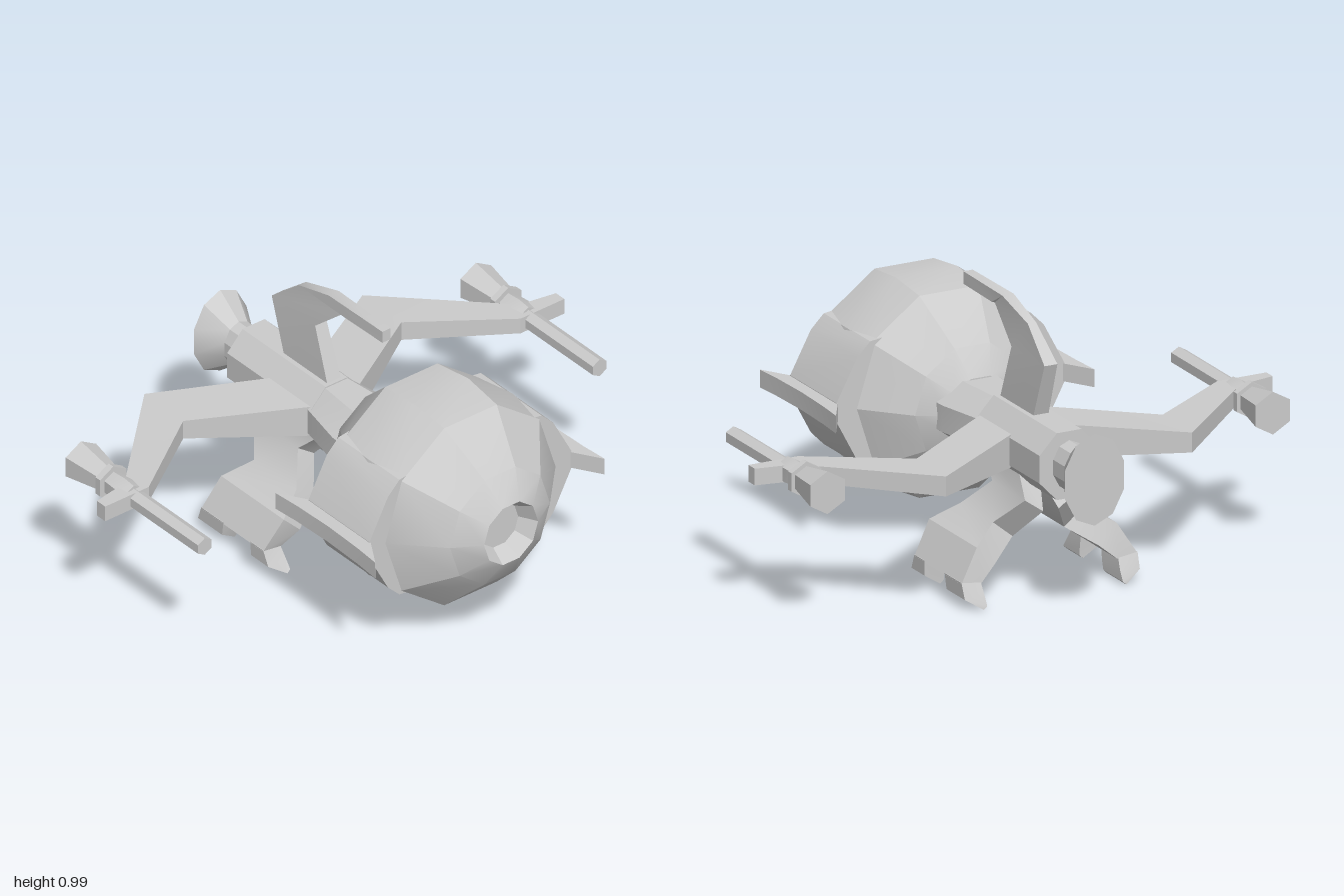
import * as THREE from 'three';
import { toCreasedNormals } from 'three/addons/utils/BufferGeometryUtils.js';

const CY = 0.508; // height of the main axis

const material = new THREE.MeshStandardMaterial({ color: 0xcccccc });

// Skin a list of equal-length cross-sections, capped at both ends and wound outwards
function loft(name, sections) {
  const tris = [];
  const n = sections[0].length;
  for (let i = 0; i < sections.length - 1; i++) {
    const a = sections[i], b = sections[i + 1];
    for (let j = 0; j < n; j++) {
      const k = (j + 1) % n;
      tris.push([a[j], a[k], b[k]], [a[j], b[k], b[j]]);
    }
  }
  const first = sections[0], last = sections[sections.length - 1];
  for (let j = 1; j < n - 1; j++) {
    tris.push([first[0], first[j + 1], first[j]], [last[0], last[j], last[j + 1]]);
  }
  const v = (p) => new THREE.Vector3(...p);
  const volume = tris.reduce((sum, [a, b, c]) => sum + v(a).dot(v(b).cross(v(c))), 0);
  if (volume < 0) tris.forEach((t) => t.reverse());
  const geometry = new THREE.BufferGeometry();
  geometry.setAttribute('position', new THREE.Float32BufferAttribute(tris.flat(2), 3));
  const mesh = new THREE.Mesh(toCreasedNormals(geometry, 0.45), material);
  mesh.name = name;
  return mesh;
}

// Polygonal ring around the z direction
function ring(z, rx, ry, sides, phase = 0, x = 0) {
  return Array.from({ length: sides }, (_, i) => {
    const a = phase + (i / sides) * Math.PI * 2;
    return [x + rx * Math.cos(a), CY + ry * Math.sin(a), z];
  });
}

// Upright rectangle between two plan points, with half height h
const upright = (x0, z0, x1, z1, h) =>
  [[x0, CY - h, z0], [x0, CY + h, z0], [x1, CY + h, z1], [x1, CY - h, z1]];

// Crosswise rectangle between two side-view points, with half width w
const crosswise = (z0, y0, z1, y1, w) =>
  [[-w, y0, z0], [w, y0, z0], [w, y1, z1], [-w, y1, z1]];

// Leg section running from z0 to z1 between an outer and an inner point
const legSection = (s, xo, yo, xi, yi, z0, z1) =>
  [[s * xo, yo, z0], [s * xo, yo, z1], [s * xi, yi, z1], [s * xi, yi, z0]];

export function createModel() {
  const group = new THREE.Group();
  group.name = 'spacecraft';

  // Faceted round cabin with a recessed nose port
  const cabin = [
    [0.02, 0.125], [0.08, 0.225], [0.245, 0.378], [0.405, 0.398], [0.565, 0.378],
    [0.725, 0.222], [0.785, 0.12], [0.72, 0.085],
  ];
  group.add(loft('cabin', cabin.map(([z, r]) => ring(z, r * 0.98, r * 1.01, 10))));

  // Neck and fuselage
  const e = Math.PI / 8;
  group.add(loft('neck', [
    ring(0.1, 0.17, 0.125, 8, e), ring(0.01, 0.167, 0.125, 8, e), ring(-0.18, 0.122, 0.125, 8, e),
  ]));
  group.add(loft('fuselage', [ring(-0.16, 0.124, 0.13, 8, e), ring(-0.61, 0.124, 0.13, 8, e)]));

  // Flared oval exhaust
  group.add(loft('exhaust', [
    ring(-0.58, 0.065, 0.088, 10, Math.PI / 10),
    ring(-0.69, 0.065, 0.088, 10, Math.PI / 10),
    ring(-0.79, 0.12, 0.165, 10, Math.PI / 10),
  ]));

  // Hooked dorsal fin
  group.add(loft('dorsalFin', [
    crosswise(-0.165, 0.6, -0.4, 0.6, 0.03),
    crosswise(-0.245, 0.825, -0.48, 0.825, 0.025),
    crosswise(-0.11, 0.94, -0.345, 0.935, 0.016),
    crosswise(-0.1, 0.94, -0.175, 0.985, 0.022),
    crosswise(0.11, 0.94, 0.11, 0.985, 0.018),
  ]));

  for (const s of [1, -1]) {
    const side = new THREE.Group();
    side.name = s > 0 ? 'leftSide' : 'rightSide';
    group.add(side);

    // Wedge fairing and swept bumper on the cabin flank
    const wedge = [[0.2, 0.25], [0.31, 0.235], [0.36, 0.185], [0.44, 0.034]];
    side.add(loft('flankFairing', wedge.map(([x, h]) => upright(s * x, 0.235, s * x, 0.565, h))));
    side.add(loft('flankBumper', [
      upright(s * 0.5, 0.13, s * 0.499, 0.13, 0.032),
      upright(s * 0.492, 0.235, s * 0.435, 0.235, 0.032),
      upright(s * 0.487, 0.4, s * 0.43, 0.4, 0.032),
      upright(s * 0.492, 0.565, s * 0.435, 0.565, 0.032),
      upright(s * 0.5, 0.67, s * 0.499, 0.67, 0.032),
    ]));

    // Cranked wing
    side.add(loft('wing', [
      upright(s * 0.06, -0.14, s * 0.06, -0.365, 0.062),
      upright(s * 0.475, -0.4, s * 0.475, -0.61, 0.036),
      upright(s * 0.81, -0.17, s * 0.86, -0.24, 0.03),
      upright(s * 1, -0.17, s * 1, -0.215, 0.03),
    ]));

    // Wingtip cannon: long barrel, collar and flared rear
    const gun = [
      [0.195, 0.034], [-0.19, 0.034], [-0.19, 0.045], [-0.24, 0.05], [-0.3, 0.045],
      [-0.3, 0.066], [-0.325, 0.066], [-0.325, 0.05], [-0.475, 0.077],
    ];
    side.add(loft('cannon', gun.map(([z, r]) => ring(z, r, r, 6, Math.PI / 6, s * 0.86))));

    // Bent landing leg
    side.add(loft('leg', [
      legSection(s, 0.08, 0.43, 0.0, 0.4, -0.165, -0.4),
      legSection(s, 0.1, 0.355, 0.03, 0.305, -0.245, -0.48),
      legSection(s, 0.175, 0.262, 0.1, 0.2, -0.16, -0.39),
      legSection(s, 0.27, 0.205, 0.2, 0.135, -0.11, -0.45),
      legSection(s, 0.34, 0.09, 0.265, 0.08, -0.135, -0.47),
    ]));

    // Front and rear toes curling inwards
    for (const [name, a, b, c, d] of [
      ['frontToe', -0.135, -0.205, -0.085, -0.2],
      ['rearToe', -0.35, -0.47, -0.37, -0.51],
    ]) {
      side.add(loft(name, [
        legSection(s, 0.34, 0.095, 0.265, 0.085, a, b),
        legSection(s, 0.338, 0.04, 0.262, 0.045, (a + c) / 2, (b + d) / 2),
        legSection(s, 0.275, 0.0, 0.262, 0.012, c, d),
      ]));
    }
  }
  return group;
}
